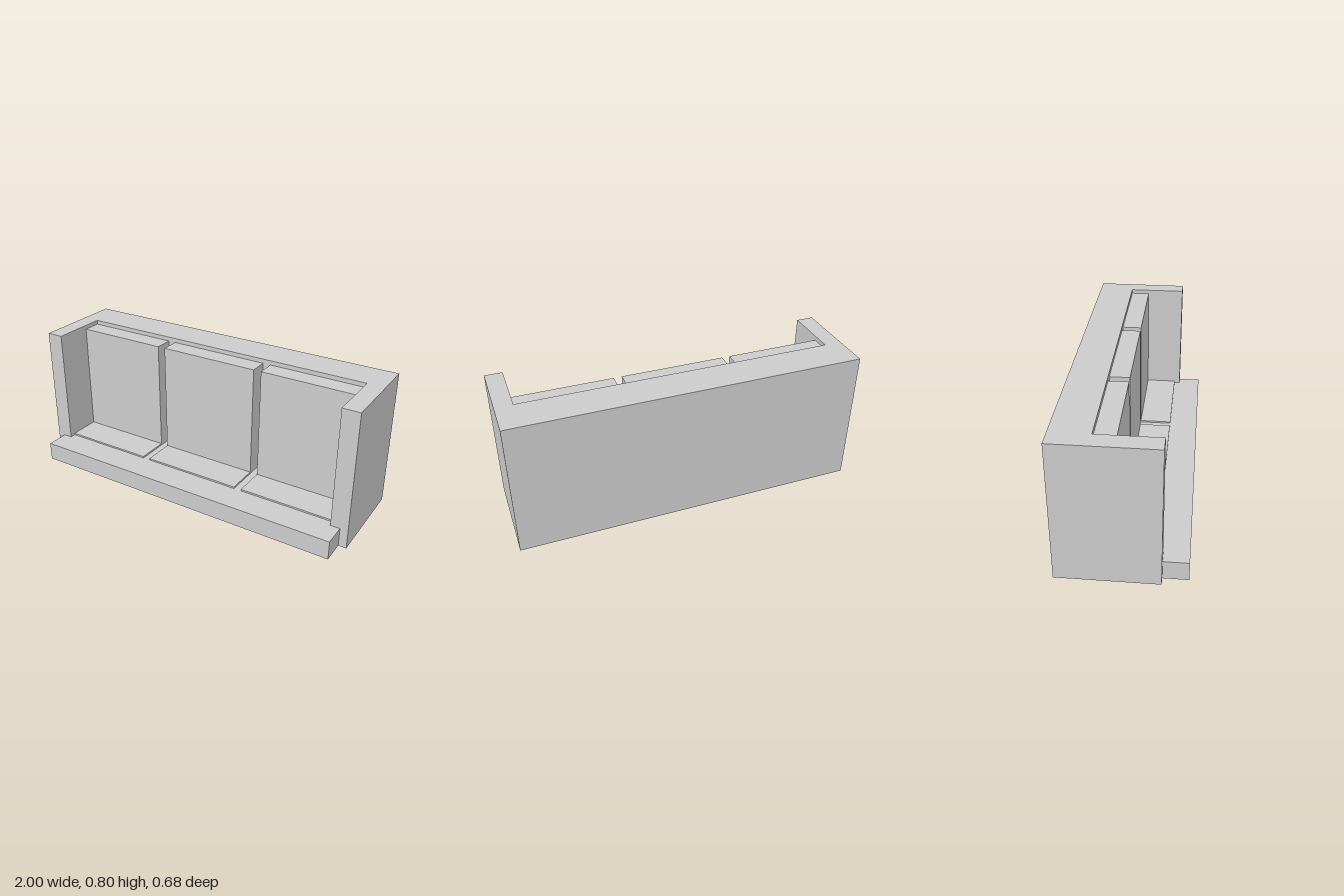
import * as THREE from 'three';

const material = new THREE.MeshStandardMaterial({ color: 0xcccccc, flatShading: true });

// Floor-plan outline of [x, z] points, raised to a height
function raisePlan(name, plan, height) {
  const shape = new THREE.Shape(plan.map(([x, z]) => new THREE.Vector2(x, -z)));
  const geometry = new THREE.ExtrudeGeometry(shape, { depth: height, bevelEnabled: false });
  geometry.rotateX(-Math.PI / 2);
  const mesh = new THREE.Mesh(geometry, material);
  mesh.name = name;
  return mesh;
}

// Box given by its limits on each axis
function block(name, [x0, x1], [y0, y1], [z0, z1]) {
  const mesh = new THREE.Mesh(new THREE.BoxGeometry(x1 - x0, y1 - y0, z1 - z0), material);
  mesh.position.set((x0 + x1) / 2, (y0 + y1) / 2, (z0 + z1) / 2);
  mesh.name = name;
  return mesh;
}

export function createModel() {
  const group = new THREE.Group();
  group.name = 'sofa';

  const outer = 1, inner = 0.9, step = 0.955;
  const back = -0.34, backFront = -0.13, armFront = 0.205, front = 0.34;
  const baseTop = 0.11, seatTop = 0.12;

  // Backrest and both arms as one U-shaped shell
  group.add(raisePlan('backAndArms', [
    [-outer, back], [outer, back], [outer, armFront], [inner, armFront],
    [inner, backFront], [-inner, backFront], [-inner, armFront], [-outer, armFront],
  ], 0.8));

  // Low base between the arms, widening into the front step
  group.add(raisePlan('base', [
    [-inner, backFront], [inner, backFront], [inner, armFront], [step, armFront],
    [step, front], [-step, front], [-step, armFront], [-inner, armFront],
  ], baseTop));

  // Three seats, each a thin pad with an upright back cushion
  const seats = { right: [-0.9, -0.345], middle: [-0.3, 0.295], left: [0.34, 0.9] };
  for (const [side, span] of Object.entries(seats)) {
    const seat = new THREE.Group();
    seat.name = `${side}Seat`;
    seat.add(
      block('seatPad', span, [baseTop, seatTop], [backFront, 0.17]),
      block('backCushion', span, [seatTop, 0.775], [backFront, -0.02]),
    );
    group.add(seat);
  }
  return group;
}
